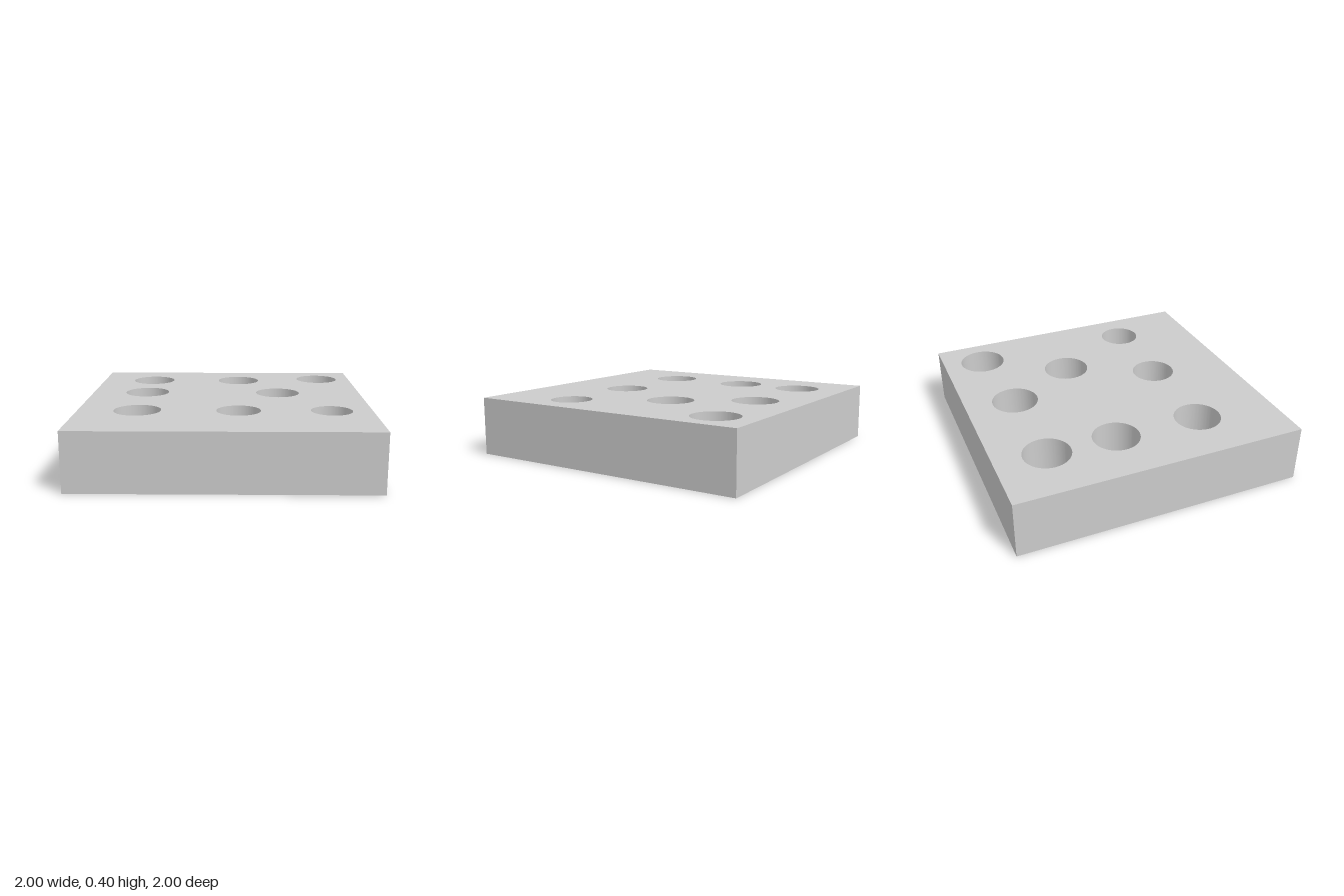
import * as THREE from 'three';
import { toCreasedNormals } from 'three/addons/utils/BufferGeometryUtils.js';

const HEIGHT = 0.4;

// Through holes: centre x, centre z, radius
const HOLES = [
  [-0.594, -0.648, 0.161], [0.093, -0.648, 0.161], [0.738, -0.712, 0.161],
  [-0.594, -0.168, 0.161], [0.387, -0.154, 0.161],
  [-0.594, 0.436, 0.161], [0.093, 0.436, 0.151], [0.723, 0.436, 0.141],
];

export function createModel() {
  const group = new THREE.Group();
  group.name = 'perforatedBlock';

  // Square outline, drawn with shape y = -z
  const outline = new THREE.Shape([
    new THREE.Vector2(-1, -1), new THREE.Vector2(1, -1),
    new THREE.Vector2(1, 1), new THREE.Vector2(-1, 1),
  ]);
  for (const [x, z, r] of HOLES) {
    outline.holes.push(new THREE.Path().absarc(x, -z, r, 0, Math.PI * 2, true));
  }

  // Extrude upward, with smooth bores and sharp rims
  const extruded = new THREE.ExtrudeGeometry(outline, {
    depth: HEIGHT, bevelEnabled: false, curveSegments: 64,
  });
  extruded.rotateX(-Math.PI / 2);
  const block = new THREE.Mesh(
    toCreasedNormals(extruded, Math.PI / 6),
    new THREE.MeshStandardMaterial({ color: 0xcccccc }),
  );
  block.name = 'block';
  group.add(block);
  return group;
}
